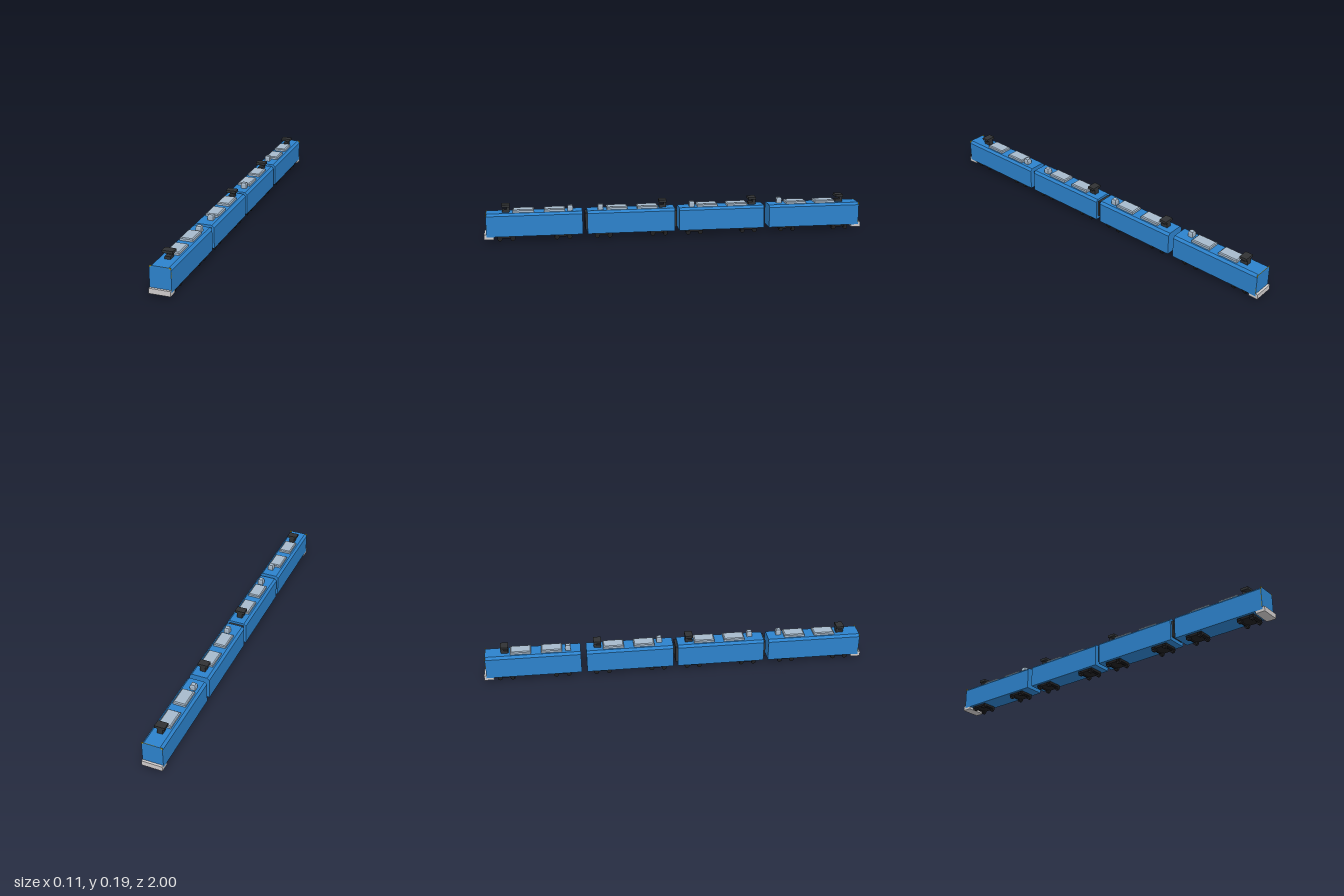
import * as THREE from 'three';

const mat = (name, color) => {
  const m = new THREE.MeshStandardMaterial({ color });
  m.name = name;
  return m;
};

export function createModel() {
  const blue = mat('body blue', 0x2c82cc);
  const yellow = mat('end yellow', 0xd6b41c);
  const silver = mat('roof unit grey', 0xa6b9cb);
  const pale = mat('bumper grey', 0xd0cdcd);
  const dark = mat('pantograph black', 0x303234);
  const black = mat('bogie black', 0x202022);

  const train = new THREE.Group();
  train.name = 'train';

  const add = (parent, name, geo, material, x = 0, y = 0, z = 0) => {
    const m = new THREE.Mesh(geo, material);
    m.name = name;
    m.position.set(x, y, z);
    parent.add(m);
    return m;
  };
  // box given by its size, bottom height and centre
  const box = (parent, name, material, w, h, d, x, y0, z) =>
    add(parent, name, new THREE.BoxGeometry(w, h, d), material, x, y0 + h / 2, z);

  // box whose upper part slopes in to a smaller top
  const bevelBox = (parent, name, material, w, h, d, x, y0, z, inset) => {
    const g = new THREE.BoxGeometry(w, h, d, 1, 2, 1);
    const p = g.attributes.position;
    for (let i = 0; i < p.count; i++) {
      const y = p.getY(i);
      if (y > h * 0.4) {
        p.setX(i, p.getX(i) - Math.sign(p.getX(i)) * inset);
        p.setZ(i, p.getZ(i) - Math.sign(p.getZ(i)) * inset);
      } else if (y > -h * 0.4) p.setY(i, h * 0.2);
    }
    const flat = g.toNonIndexed();
    flat.computeVertexNormals();
    return add(parent, name, flat, material, x, y0 + h / 2, z);
  };

  // carriage cross-section with bevelled roof edges
  const W = 0.053, BOTTOM = 0.027, ROOF = 0.147;
  const section = new THREE.Shape([
    [-W, BOTTOM], [W, BOTTOM], [W, 0.135], [0.041, ROOF], [-0.041, ROOF], [-W, 0.135],
  ].map(([x, y]) => new THREE.Vector2(x, y)));

  const bogie = (parent, z) => {
    const g = new THREE.Group();
    g.name = 'bogie';
    g.position.z = z;
    parent.add(g);
    box(g, 'bogieFrame', black, 0.078, 0.012, 0.09, 0, 0.015, 0);
    for (const s of [-1, 1]) {
      const axle = new THREE.CylinderGeometry(0.004, 0.004, 0.07, 8).rotateZ(Math.PI / 2);
      add(g, 'axle', axle, black, 0, 0.0125, s * 0.033);
      for (const side of [-1, 1]) {
        const wheel = new THREE.CylinderGeometry(0.0125, 0.0125, 0.013, 12).rotateZ(Math.PI / 2);
        add(g, 'wheel', wheel, black, side * 0.0335, 0.0125, s * 0.033);
        box(g, 'axleBox', black, 0.006, 0.01, 0.018, side * 0.042, 0.012, s * 0.033);
      }
    }
  };

  const pantograph = (parent, z) => {
    const g = new THREE.Group();
    g.name = 'pantograph';
    g.position.z = z;
    parent.add(g);
    box(g, 'pantographFoot', dark, 0.028, 0.014, 0.038, 0, ROOF, 0);
    box(g, 'pantographPost', dark, 0.028, 0.032, 0.014, 0, ROOF, -0.012);
    box(g, 'pantographHead', dark, 0.053, 0.013, 0.04, 0, 0.175, 0);
  };

  // z range, roof unit centres, vent [x, z], pantograph z, cab end direction
  const cars = [
    { z0: 0.495, z1: 0.988, units: [0.637, 0.797], vent: [0.012, 0.557], panto: 0.886, cab: 1 },
    { z0: 0.012, z1: 0.47, units: [0.154, 0.313], vent: [0.012, 0.4], panto: 0.073, cab: 0 },
    { z0: -0.466, z1: -0.012, units: [-0.324, -0.164], vent: [0.012, -0.082], panto: -0.407, cab: 0 },
    { z0: -0.988, z1: -0.495, units: [-0.804, -0.645], vent: [-0.012, -0.56], panto: -0.886, cab: -1 },
  ];

  for (const c of cars) {
    const car = new THREE.Group();
    car.name = c.cab ? 'endCarriage' : 'middleCarriage';
    train.add(car);
    const hull = new THREE.ExtrudeGeometry(section, { depth: c.z1 - c.z0, bevelEnabled: false });
    add(car, 'carriageBody', hull, blue, 0, 0, c.z0);

    const mid = (c.z0 + c.z1) / 2;
    for (const s of [-1, 1]) bogie(car, mid + s * 0.146);
    for (const z of c.units)
      bevelBox(car, 'roofUnit', silver, 0.066, 0.015, 0.108, 0, ROOF, z, 0.005);
    bevelBox(car, 'roofVent', silver, 0.028, 0.029, 0.028, c.vent[0], ROOF, c.vent[1], 0.003);
    pantograph(car, c.panto);

    // square end plate peeks out past the roof bevel; bumper sits below
    if (c.cab) {
      box(car, 'endPlate', yellow, 0.106, 0.107, 0.002, 0, 0.04, c.cab * 0.9868);
      box(car, 'bumper', pale, 0.1056, 0.026, 0.05, 0, 0.014, c.cab * 0.975);
    }
  }

  // gangways at both ends of the second carriage
  for (const z of [0.475, 0.006])
    box(train, 'gangway', dark, 0.08, 0.09, 0.012, 0, 0.045, z);

  return train;
}
